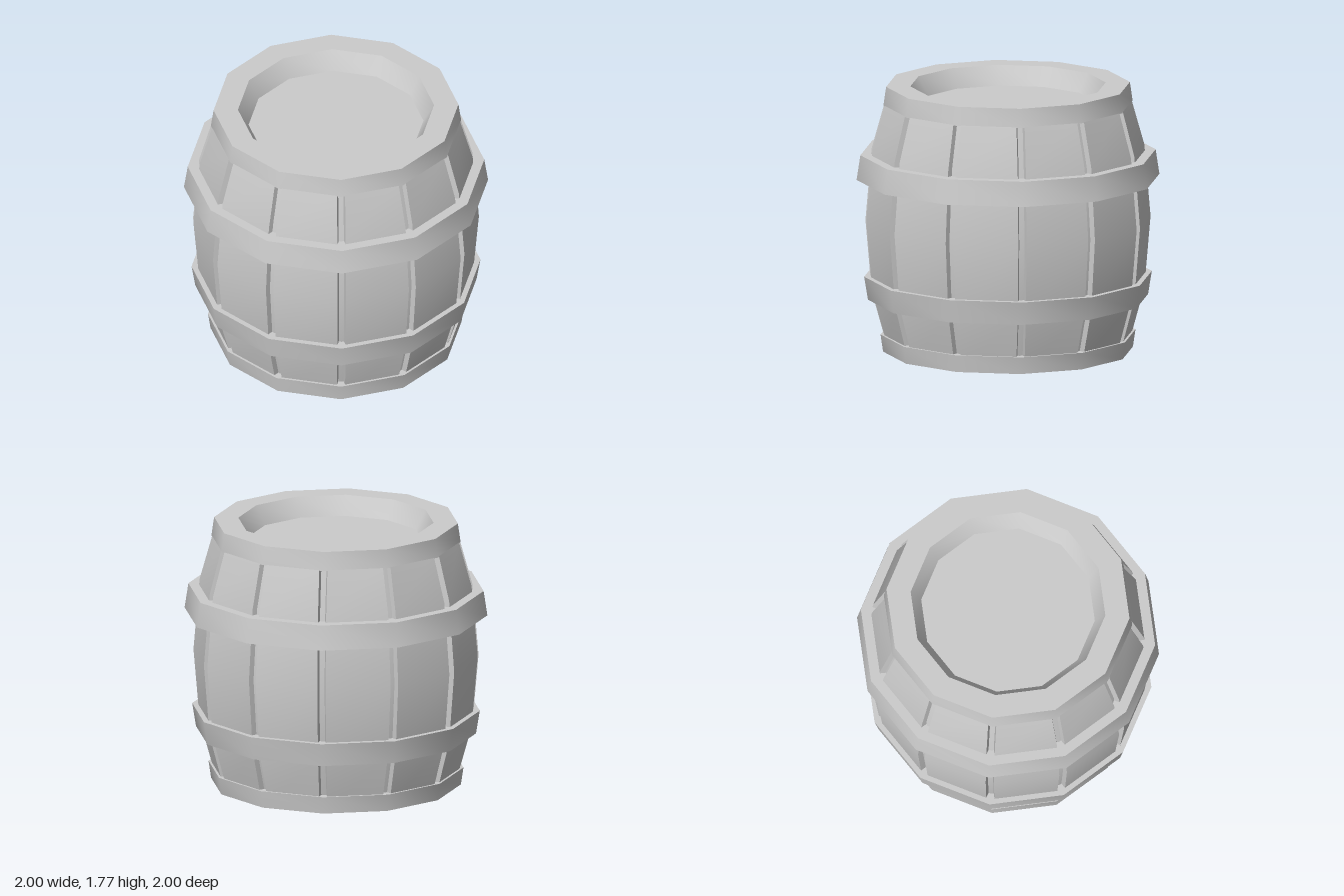
import * as THREE from 'three';
import { toCreasedNormals } from 'three/addons/utils/BufferGeometryUtils.js';

const SIDES = 12;
const CREASE = 0.6;
// Bulging side of the barrel: heights and corner radii
const HEIGHTS = [0.02, 0.4, 0.88, 1.36, 1.68];
const RADII = [0.8, 0.905, 0.946, 0.905, 0.815];

export function createModel() {
  const barrel = new THREE.Group();
  barrel.name = 'barrel';
  const material = new THREE.MeshStandardMaterial({ color: 0xcccccc });

  const add = (name, geometry, parent = barrel) => {
    const mesh = new THREE.Mesh(toCreasedNormals(geometry, CREASE), material);
    mesh.name = name;
    parent.add(mesh);
    return mesh;
  };
  // Twelve-sided turned part from [radius, height] pairs
  const turned = (name, profile) =>
    add(name, new THREE.LatheGeometry(profile.map(([r, y]) => new THREE.Vector2(r, y)), SIDES));

  // Inner wall seen through the gaps between the staves
  turned('innerWall', HEIGHTS.map((y, i) => [RADII[i] - 0.04, y]));

  // Staves: a box bent to the bulge, one for each side, with gaps at the corners
  const half = Math.PI / SIDES;
  const gap = 0.028, thickness = 0.07;
  const staveGeometry = new THREE.BoxGeometry(1, 1, 1, 1, HEIGHTS.length - 1, 1);
  const pos = staveGeometry.attributes.position;
  for (let i = 0; i < pos.count; i++) {
    const row = Math.round((pos.getY(i) + 0.5) * (HEIGHTS.length - 1));
    const face = RADII[row] * Math.cos(half);
    const width = RADII[row] * Math.sin(half) - gap;
    pos.setXYZ(i, Math.sign(pos.getX(i)) * width, HEIGHTS[row],
      pos.getZ(i) > 0 ? face : face - thickness);
  }
  const staves = new THREE.Group();
  staves.name = 'staves';
  barrel.add(staves);
  for (let i = 0; i < SIDES; i++) {
    add('stave', staveGeometry, staves).rotation.y = half * (2 * i + 1);
  }

  // Base with its closed underside
  turned('base', [[0, 0], [0.825, 0], [0.842, 0.115], [0.72, 0.115]]);

  // Hoops that lean with the bulge
  turned('lowerHoop', [[0.84, 0.35], [0.925, 0.35], [0.95, 0.505], [0.84, 0.505]]);
  turned('upperHoop', [[0.84, 1.155], [1, 1.155], [0.975, 1.32], [0.84, 1.32]]);

  // Top rim with the sunken lid
  turned('rimAndLid', [[0.72, 1.65], [0.823, 1.65], [0.805, 1.775],
    [0.645, 1.775], [0.575, 1.65], [0, 1.65]]);

  return barrel;
}
